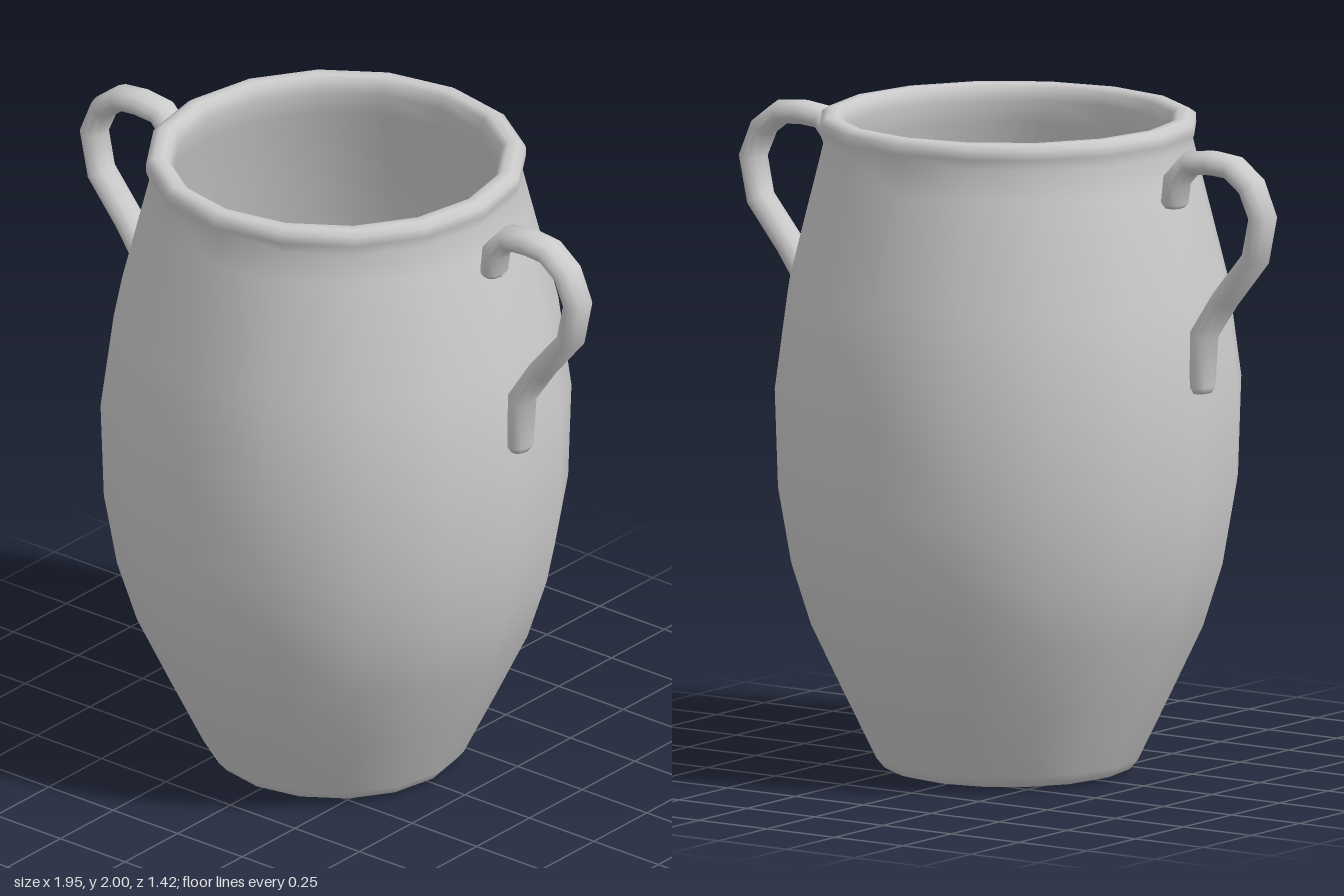
import * as THREE from 'three';

const material = () => new THREE.MeshStandardMaterial({ color: 0xcccccc });

// Hollow body with rolled lip: up the outside, over the rim, down the inside
function makeBody() {
  const profile = [
    [0, 0], [0.34, 0.005], [0.375, 0.015], [0.40, 0.045],
    [0.50, 0.25], [0.60, 0.46], [0.66, 0.65], [0.70, 0.88], [0.71, 1.18],
    [0.67, 1.48], [0.582, 1.83], [0.56, 1.92],
    [0.573, 1.955], [0.572, 1.985], [0.55, 2.0], [0.52, 2.0], [0.502, 1.985],
    [0.495, 1.95], [0.505, 1.88], [0.53, 1.81],
    [0.61, 1.47], [0.65, 1.17], [0.65, 0.97], [0.61, 0.67],
    [0.55, 0.48], [0.45, 0.27], [0.37, 0.11], [0.32, 0.07], [0, 0.065],
  ].map(([r, y]) => new THREE.Vector2(r, y));
  const body = new THREE.Mesh(new THREE.LatheGeometry(profile, 16), material());
  body.name = 'jarBody';
  return body;
}

// Handle: oval cross-sections swept along a path of [x, y, scale], closed at both ends
function makeHandleGeometry() {
  const path = [
    [0.612, 1.775, 0], [0.612, 1.776, 0.7], [0.613, 1.79, 0.95], [0.622, 1.86, 1],
    [0.675, 1.917, 1], [0.755, 1.925, 1], [0.83, 1.918, 1], [0.897, 1.867, 1],
    [0.937, 1.775, 1], [0.91, 1.648, 1], [0.80, 1.515, 1], [0.722, 1.40, 1],
    [0.715, 1.24, 0.9], [0.715, 1.221, 0.65], [0.715, 1.22, 0],
  ];
  const sides = 10, halfThick = 0.038, halfWide = 0.054;
  const positions = [], index = [];
  path.forEach(([x, y, s], i) => {
    const a = path[Math.max(i - 1, 0)], b = path[Math.min(i + 1, path.length - 1)];
    const t = new THREE.Vector2(b[0] - a[0], b[1] - a[1]).normalize();
    for (let j = 0; j < sides; j++) {
      const angle = (j / sides) * Math.PI * 2;
      const u = Math.cos(angle) * halfThick * s;
      positions.push(x - t.y * u, y + t.x * u, Math.sin(angle) * halfWide * s);
      if (i === path.length - 1) continue;
      const p = i * sides + j, q = i * sides + ((j + 1) % sides);
      index.push(p, q, p + sides, q, q + sides, p + sides);
    }
  });
  const geometry = new THREE.BufferGeometry();
  geometry.setAttribute('position', new THREE.Float32BufferAttribute(positions, 3));
  geometry.setIndex(index);
  geometry.computeVertexNormals();
  // The collapsed end rings face straight along the path
  const normals = geometry.attributes.normal;
  for (let j = 0; j < sides; j++) {
    normals.setXYZ(j, 0, -1, 0);
    normals.setXYZ((path.length - 1) * sides + j, 0, -1, 0);
  }
  return geometry;
}

export function createModel() {
  const model = new THREE.Group();
  model.name = 'twoHandledJar';
  model.add(makeBody());

  // Matching handles on both sides
  const handleGeometry = makeHandleGeometry();
  for (const [name, turn] of [['leftHandle', 0], ['rightHandle', Math.PI]]) {
    const handle = new THREE.Mesh(handleGeometry, material());
    handle.name = name;
    handle.rotation.y = turn;
    model.add(handle);
  }
  return model;
}
